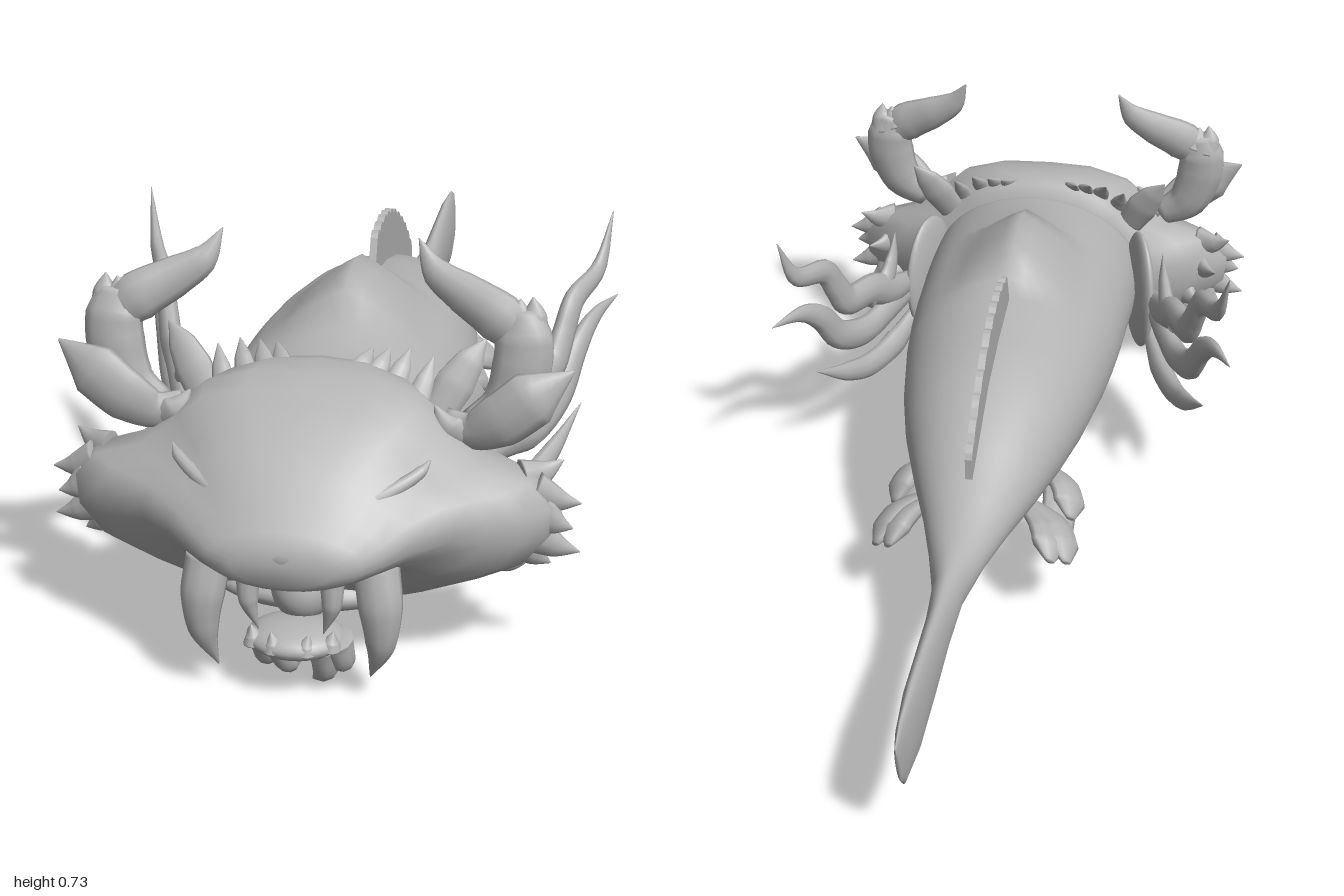
import * as THREE from 'three';

const V = (x, y, z) => new THREE.Vector3(x, y, z);

// Skins a list of closed rings and caps both ends
function loft(rings) {
  const n = rings[0].length, pos = [], idx = [];
  rings.forEach(r => r.forEach(p => pos.push(p.x, p.y, p.z)));
  for (let i = 0; i < rings.length - 1; i++) {
    for (let j = 0; j < n; j++) {
      const a = i * n + j, b = i * n + (j + 1) % n;
      idx.push(a, b, a + n, b, b + n, a + n);
    }
  }
  [0, rings.length - 1].forEach((k, end) => {
    const c = rings[k].reduce((s, p) => s.add(p), V(0, 0, 0)).divideScalar(n);
    const m = pos.length / 3;
    pos.push(c.x, c.y, c.z);
    for (let j = 0; j < n; j++) {
      const a = k * n + j, b = k * n + (j + 1) % n;
      if (end) idx.push(a, b, m); else idx.push(b, a, m);
    }
  });
  const g = new THREE.BufferGeometry();
  g.setAttribute('position', new THREE.Float32BufferAttribute(pos, 3));
  g.setIndex(idx);
  g.computeVertexNormals();
  return g;
}

// Tapered tube: radii run along the path, flat scales the section across the side axis
function taper(pts, radii, side = V(1, 0, 0), flat = 1, steps = 20, sides = 10) {
  const curve = new THREE.CatmullRomCurve3(pts), rings = [];
  for (let i = 0; i <= steps; i++) {
    const u = i / steps, f = u * (radii.length - 1), k = Math.min(Math.floor(f), radii.length - 2);
    const r = THREE.MathUtils.lerp(radii[k], radii[k + 1], f - k);
    const c = curve.getPoint(u), t = curve.getTangent(u);
    const n = side.clone().addScaledVector(t, -side.dot(t)).normalize();
    const b = t.clone().cross(n);
    rings.push(Array.from({ length: sides }, (_, j) => {
      const a = j / sides * Math.PI * 2;
      return c.clone().addScaledVector(n, r * flat * Math.cos(a)).addScaledVector(b, r * Math.sin(a));
    }));
  }
  return loft(rings);
}

export function createModel() {
  const model = new THREE.Group();
  const hide = new THREE.MeshStandardMaterial({ color: 0xb4b4b4 });
  hide.name = 'stone grey';
  const add = (name, geo) => {
    const m = new THREE.Mesh(geo, hide);
    m.name = name;
    model.add(m);
    return m;
  };
  const ball = (name, p, s) => {
    const m = add(name, new THREE.SphereGeometry(1, 24, 16));
    m.position.set(...p);
    m.scale.set(...s);
    return m;
  };

  // Body and tail: z, half width, bottom, top, lean of the section; a narrow hump rises on the back
  const bodyRows = [
    [-0.985, 0.004, 0.195, 0.295, 0.015], [-0.95, 0.012, 0.165, 0.315, 0.005], [-0.86, 0.02, 0.155, 0.32, 0],
    [-0.74, 0.022, 0.165, 0.31, 0], [-0.62, 0.024, 0.185, 0.297, 0], [-0.52, 0.03, 0.2, 0.298, 0],
    [-0.42, 0.055, 0.21, 0.305, 0], [-0.32, 0.085, 0.2, 0.335, 0], [-0.22, 0.122, 0.186, 0.385, 0],
    [-0.1, 0.162, 0.17, 0.445, 0], [0.02, 0.19, 0.157, 0.475, 0], [0.16, 0.212, 0.147, 0.494, 0],
    [0.2, 0.216, 0.146, 0.496, 0], [0.22, 0.218, 0.145, 0.497, 0], [0.26, 0.222, 0.144, 0.5, 0],
    [0.32, 0.226, 0.143, 0.5, 0], [0.38, 0.228, 0.142, 0.5, 0], [0.43, 0.23, 0.141, 0.5, 0],
    [0.48, 0.232, 0.14, 0.497, 0], [0.6, 0.232, 0.14, 0.495, 0], [0.7, 0.22, 0.15, 0.48, 0]];
  add('body', loft(bodyRows.map(([z, w, lo, hi, lean]) => Array.from({ length: 48 }, (_, j) => {
    const a = j / 48 * Math.PI * 2, s = Math.sin(a), x = w * Math.cos(a);
    const rise = 0.08 * Math.sqrt(Math.max(0, 1 - ((z - 0.335) / 0.14) ** 2));
    const hump = s > 0 ? rise * Math.max(0, 1 - Math.abs(x) / 0.13) : 0;
    return V(x, (lo + hi) / 2 + (hi - lo) / 2 * s + hump, z - lean * s);
  }))));

  // Head: domed skull with wide cheeks, narrowing to a rounded muzzle
  const half = [[0, 0], [0.25, 0.005], [0.47, 0.03], [0.7, 0.12], [0.88, 0.21], [0.98, 0.35], [0.99, 0.49],
    [0.9, 0.61], [0.7, 0.68], [0.54, 0.83], [0.44, 0.93], [0.25, 0.99], [0, 1]];
  const outline = [...half, ...half.slice(1, -1).reverse().map(([x, y]) => [-x, y])];
  const headRows = [ // z, half width, bottom, top, roundness
    [0.6, 0.22, 0.15, 0.485, 1], [0.64, 0.27, 0.13, 0.512, 0.6], [0.68, 0.34, 0.118, 0.522, 0.2],
    [0.73, 0.425, 0.12, 0.517, 0], [0.77, 0.415, 0.13, 0.503, 0], [0.81, 0.37, 0.145, 0.485, 0],
    [0.845, 0.315, 0.175, 0.466, 0.1], [0.88, 0.265, 0.215, 0.44, 0.3], [0.92, 0.21, 0.225, 0.41, 0.5],
    [0.955, 0.165, 0.228, 0.37, 0.8], [0.98, 0.13, 0.235, 0.34, 1], [0.998, 0.085, 0.25, 0.32, 1]];
  add('head', loft(headRows.map(([z, w, lo, hi, round]) => outline.map(([x, y], j) => {
    const a = j / outline.length * Math.PI * 2;
    const u = THREE.MathUtils.lerp(x, Math.sin(a), round);
    const v = THREE.MathUtils.lerp(y, 0.5 - 0.5 * Math.cos(a), round);
    return V(w * u, lo + (hi - lo) * v, z);
  }))));
  ball('nose', [0, 0.3, 0.965], [0.065, 0.035, 0.034]);

  // Mouth lining, lower jaw, beard
  ball('tongue', [0, 0.17, 0.83], [0.055, 0.06, 0.06]);
  ball('lowerJaw', [0, 0.105, 0.89], [0.085, 0.03, 0.07]);
  ball('throat', [0, 0.15, 0.77], [0.17, 0.04, 0.09]);
  [[0.05, 0.08, 0.02, 0.005], [-0.035, 0.085, -0.02, 0.02], [-0.05, 0.085, -0.08, 0.045], [0.07, 0.09, 0.06, 0.035]]
    .forEach(([x, y, tx, ty]) => add('beardTuft', taper(
      [V(x, y + 0.02, 0.9), V((x + tx) / 2 + 0.012, (y + ty) / 2, 0.885), V(tx, ty, 0.855)], [0.03, 0.022, 0.001])));

  // Dorsal fin with a scalloped edge
  const fin = new THREE.Shape();
  const top = new THREE.SplineCurve([[0.13, 0.555], [0.03, 0.565], [-0.08, 0.54], [-0.2, 0.475], [-0.295, 0.395]]
    .map(p => new THREE.Vector2(...p)));
  fin.moveTo(0.17, 0.46);
  fin.lineTo(0.13, 0.555);
  for (let i = 1; i <= 11; i++) {
    const m = top.getPoint((i - 0.5) / 11), e = top.getPoint(i / 11);
    fin.quadraticCurveTo(m.x, m.y + 0.018, e.x, e.y);
  }
  fin.lineTo(-0.29, 0.32);
  fin.lineTo(-0.1, 0.4);
  add('dorsalFin', new THREE.ExtrudeGeometry(fin, { depth: 0.014, bevelEnabled: false, curveSegments: 4 })
    .rotateY(-Math.PI / 2).translate(0.007, 0, 0));

  for (const s of [1, -1]) {
    const P = a => a.map(([x, y, z]) => V(s * x, y, z));
    const Z = V(0, 0, 1);

    // Fangs and smaller teeth
    add('fang', taper(P([[0.14, 0.255, 0.91], [0.15, 0.19, 0.925], [0.15, 0.12, 0.925], [0.13, 0.05, 0.91]]),
      [0.04, 0.038, 0.026, 0.001], Z, 0.8));
    add('smallTooth', taper(P([[0.07, 0.24, 0.93], [0.07, 0.19, 0.935], [0.055, 0.135, 0.93]]), [0.022, 0.017, 0.001]));
    [[0.028, 0.94], [0.066, 0.92]].forEach(([x, z]) => add('lowerTooth',
      taper(P([[x, 0.1, z], [x, 0.115, z], [x + 0.004, 0.135, z]]), [0.018, 0.014, 0.001])));

    // Brow ridge and its tuft
    add('brow', taper(P([[0.085, 0.365, 0.94], [0.13, 0.372, 0.91], [0.175, 0.388, 0.875], [0.205, 0.405, 0.85],
      [0.218, 0.42, 0.835]]), [0.002, 0.012, 0.012, 0.01, 0.001]));

    // Cheek and mane spikes: base then tip
    [[0.38, 0.335, 0.745, 0.46, 0.315, 0.74], [0.39, 0.3, 0.75, 0.448, 0.275, 0.755], [0.38, 0.255, 0.745, 0.46, 0.225, 0.74],
      [0.36, 0.235, 0.735, 0.41, 0.195, 0.73], [0.32, 0.205, 0.735, 0.37, 0.18, 0.7], [0.36, 0.35, 0.735, 0.425, 0.375, 0.7],
      [0.35, 0.3, 0.73, 0.4, 0.31, 0.66], [0.32, 0.24, 0.72, 0.37, 0.23, 0.66]]
      .forEach(([x, y, z, tx, ty, tz]) => add('cheekSpike', taper(
        P([[x, y, z], [(x + tx) / 2, (y + ty) / 2 - 0.005, (z + tz) / 2], [tx, ty, tz]]), [0.036, 0.022, 0.001], Z, 0.6)));
    [[0.075, 0.495, 0.525], [0.105, 0.49, 0.527], [0.14, 0.48, 0.528], [0.18, 0.455, 0.515]].forEach(([x, y, ty]) =>
      add('maneTuft', taper(P([[x - 0.01, y, 0.665], [x, (y + ty) / 2, 0.645], [x + 0.01, ty, 0.62]]),
        [0.022, 0.016, 0.001], Z, 0.5)));

    // Antler: thick stem, knuckle spikes and a pointed claw
    add('antlerStem', taper(P([[0.27, 0.43, 0.71], [0.325, 0.47, 0.705], [0.35, 0.54, 0.7], [0.352, 0.59, 0.695],
      [0.345, 0.635, 0.69]]), [0.03, 0.045, 0.052, 0.05, 0.03], Z, 0.65));
    add('antlerClaw', taper(P([[0.36, 0.575, 0.695], [0.31, 0.62, 0.69], [0.25, 0.653, 0.675], [0.2, 0.685, 0.665],
      [0.168, 0.738, 0.65]]), [0.03, 0.045, 0.037, 0.026, 0.001], Z, 0.6));
    [[0.36, 0.6, 0.365, 0.66], [0.335, 0.61, 0.345, 0.655]].forEach(([x, y, tx, ty]) => add('antlerSpike',
      taper(P([[x, y, 0.69], [x + 0.007, (y + ty) / 2, 0.69], [tx, ty, 0.69]]), [0.035, 0.022, 0.001], Z, 0.7)));
    add('antlerLeaf', taper(P([[0.225, 0.45, 0.73], [0.27, 0.435, 0.74], [0.32, 0.46, 0.75], [0.375, 0.505, 0.75],
      [0.44, 0.55, 0.735]]), [0.02, 0.034, 0.048, 0.05, 0.002], Z, 0.5));
    add('antlerThumb', taper(P([[0.27, 0.42, 0.73], [0.235, 0.44, 0.745], [0.21, 0.475, 0.74]]), [0.03, 0.026, 0.002], Z, 0.6));

    // Ear
    add('ear', taper(P([[0.2, 0.42, 0.66], [0.23, 0.475, 0.64], [0.255, 0.515, 0.625], [0.28, 0.55, 0.61]].map(
      ([x, y, z]) => [x, y, z])), [0.03, 0.036, 0.026, 0.001], Z, 0.45));

    // Shoulder plate with trailing flames
    ball('shoulderPlate', [s * 0.238, 0.31, 0.56], [0.022, 0.14, 0.088]).rotation.y = -s * 0.4;
    const flame = (name, zy, radii) => add(name, taper(
      P(zy.map(([z, y]) => [0.235 + (0.6 - z) * 0.425, y, z])), radii, V(s, 0, 0.4).normalize(), 0.65, 32));
    flame('upperFlame', [[0.55, 0.315], [0.45, 0.325], [0.37, 0.365], [0.29, 0.38], [0.255, 0.43], [0.22, 0.485],
      [0.13, 0.52], [0.08, 0.62]], [0.015, 0.036, 0.036, 0.034, 0.03, 0.027, 0.02, 0.001]);
    flame('middleFlame', [[0.55, 0.29], [0.44, 0.29], [0.35, 0.275], [0.26, 0.31], [0.2, 0.385], [0.14, 0.425],
      [0.05, 0.44]], [0.015, 0.034, 0.034, 0.033, 0.028, 0.018, 0.001]);
    flame('lowerFlame', [[0.55, 0.24], [0.45, 0.188], [0.36, 0.18], [0.28, 0.205], [0.18, 0.26]],
      [0.015, 0.034, 0.03, 0.022, 0.001]);
    flame('hookFlame', [[0.36, 0.345], [0.42, 0.36], [0.445, 0.4], [0.46, 0.46]], [0.026, 0.026, 0.018, 0.001]);

    // Pelvic fins: two pairs of cupped lobes
    [[0.1, 0.21, 0, 0.15, 0.175, -0.1, 0.15, 0.15, -0.19], [0.09, 0.22, -0.02, 0.16, 0.2, -0.08, 0.18, 0.17, -0.14],
      [0.08, 0.22, -0.16, 0.14, 0.2, -0.23, 0.16, 0.18, -0.3], [0.09, 0.22, -0.16, 0.16, 0.195, -0.21, 0.19, 0.165, -0.28]]
      .forEach(([a, b, c, d, e, f, g, h, i]) => add('pelvicFin',
        taper(P([[a, b, c], [d, e, f], [g, h, i]]), [0.018, 0.03, 0.042, 0.042, 0.012], V(s * 0.7, 0.7, 0), 0.5)));
  }
  return model;
}
